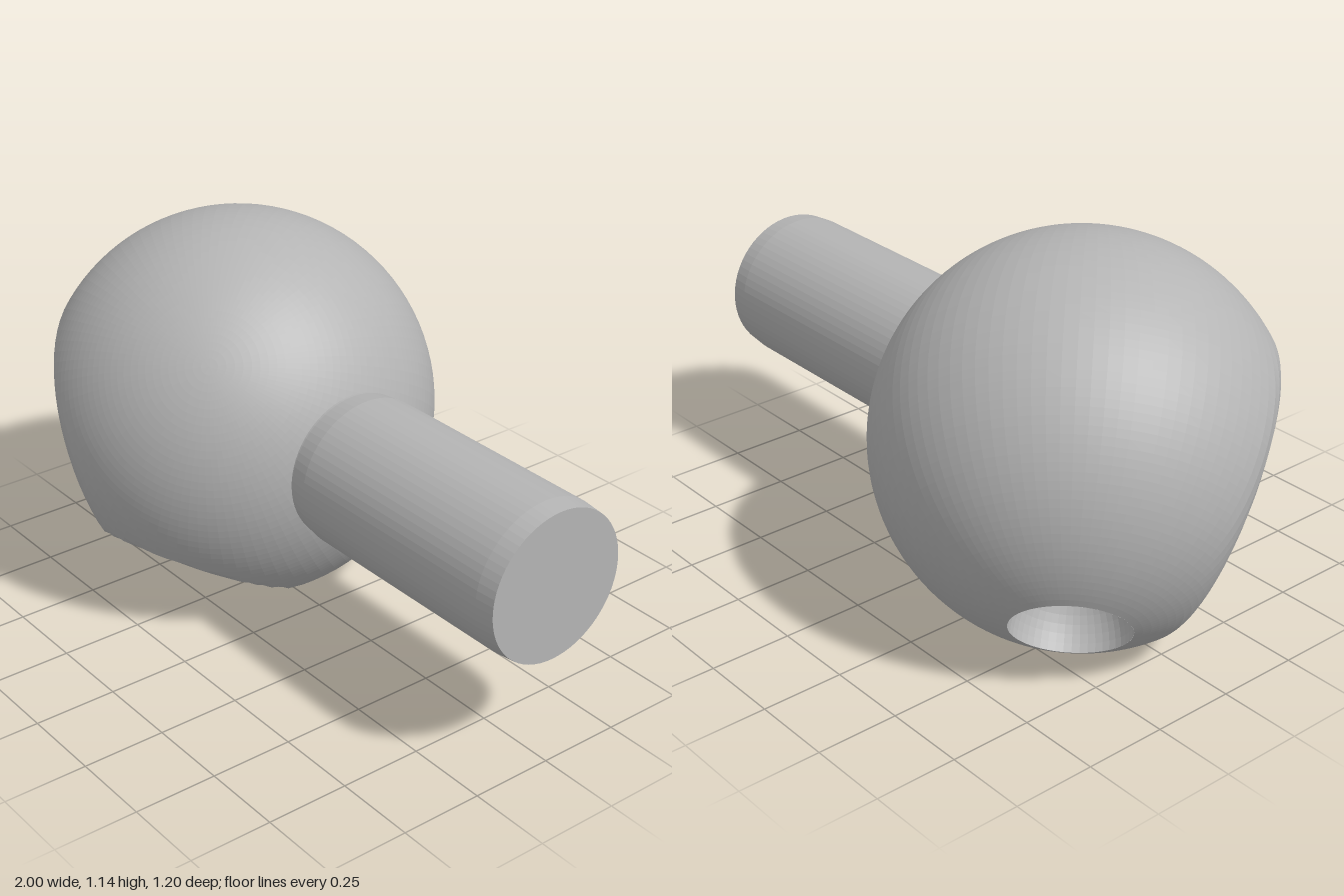
import * as THREE from 'three';

const R = 0.6;
const CENTRE = new THREE.Vector3(-0.4, 0.545, 0);
const HOLE_RADIUS = 0.17;
const HOLE_DIR = new THREE.Vector3(-1, -1, -1).normalize();
const DENT_DIR = new THREE.Vector3(-0.67, -0.36, 0.67).normalize();
const FLAT_DIR = new THREE.Vector3(0.08, -0.87, 0.48).normalize();
const toHole = new THREE.Quaternion().setFromUnitVectors(new THREE.Vector3(0, -1, 0), HOLE_DIR);

// Radius of the ball in a given direction, with its scoop and flattened underside
function ballRadius(dir) {
  const angle = THREE.MathUtils.radToDeg(dir.angleTo(DENT_DIR));
  const scoop = R * (1 - 0.33 * (1 - THREE.MathUtils.smoothstep(angle, 8, 50)));
  let r = Math.min(R, scoop);

  // Slanted facet under the front, with shallow folds across it
  const facing = dir.dot(FLAT_DIR);
  if (facing > 0.1) {
    const folds = 0.006 * Math.cos(dir.x * 70) * THREE.MathUtils.smoothstep(facing, 0.82, 0.95)
      * Math.exp(-Math.pow(dir.x / 0.22, 2));
    r = Math.min(r, (0.482 + folds) / facing);
  }
  // Level underside
  if (dir.y < -0.1) r = Math.min(r, CENTRE.y / -dir.y);
  return r;
}

function makeBall(material) {
  const open = Math.asin(HOLE_RADIUS / R);
  const geo = new THREE.SphereGeometry(1, 96, 72, 0, Math.PI * 2, 0, Math.PI - open);
  geo.applyQuaternion(toHole);
  const pos = geo.attributes.position;
  const dir = new THREE.Vector3();
  for (let i = 0; i < pos.count; i++) {
    dir.fromBufferAttribute(pos, i).normalize();
    dir.multiplyScalar(ballRadius(dir));
    pos.setXYZ(i, dir.x, dir.y, dir.z);
  }
  geo.computeVertexNormals();
  const ball = new THREE.Mesh(geo, material);
  ball.name = 'dentedBall';
  ball.position.copy(CENTRE);
  return ball;
}

// Rounded socket sunk into the ball
function makeSocket(material) {
  const rim = -Math.sqrt(R * R - HOLE_RADIUS * HOLE_RADIUS);
  const profile = [];
  for (let i = 0; i <= 12; i++) {
    const a = (i / 12) * Math.PI / 2;
    profile.push(new THREE.Vector2(HOLE_RADIUS * Math.cos(a), rim + 0.2 * Math.sin(a)));
  }
  const socket = new THREE.Mesh(new THREE.LatheGeometry(profile, 48), material);
  socket.name = 'socket';
  socket.quaternion.copy(toHole);
  socket.position.copy(CENTRE);
  return socket;
}

// Straight round shaft with a slightly eased end
function makeShaft(material) {
  const profile = [[0, 0.1], [0.222, 0.1], [0.222, 0.16], [0.23, 0.22], [0.23, 0.94], [0.224, 1], [0, 1]]
    .map(([r, x]) => new THREE.Vector2(r, x));
  const geo = new THREE.LatheGeometry(profile, 64);
  geo.rotateZ(-Math.PI / 2);
  const shaft = new THREE.Mesh(geo, material);
  shaft.name = 'shaft';
  shaft.position.y = 0.556;
  return shaft;
}

export function createModel() {
  const grey = new THREE.MeshStandardMaterial({
    name: 'plain grey', color: 0xb4b4b4, flatShading: true, side: THREE.DoubleSide,
  });
  const model = new THREE.Group();
  model.name = 'ballAndShaft';
  model.add(makeBall(grey), makeSocket(grey), makeShaft(grey));
  return model;
}
